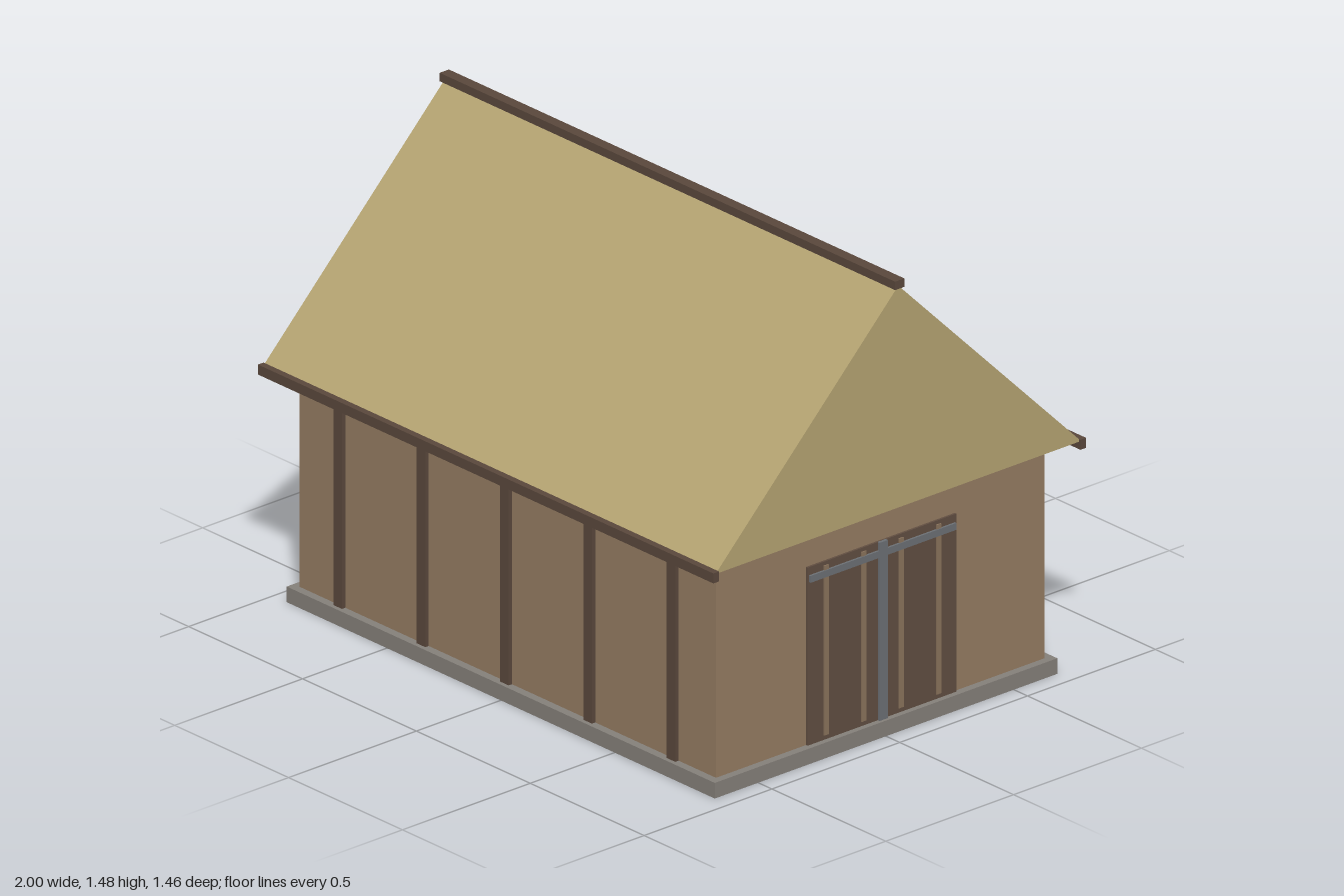
import * as THREE from 'three';

const mat = (color) => new THREE.MeshStandardMaterial({ color });

export function createModel() {
  const barn = new THREE.Group();
  barn.name = 'barn';
  const stone = mat(0x85807a), plaster = mat(0x957c62), thatch = mat(0xb5a472);
  const timber = mat(0x5a483c), doorWood = mat(0x614e41), batten = mat(0x8a735c), iron = mat(0x6c7075);

  // Box given by its lower and upper bounds on each axis
  const box = (name, material, [x0, x1], [y0, y1], [z0, z1], parent = barn) => {
    const mesh = new THREE.Mesh(new THREE.BoxGeometry(x1 - x0, y1 - y0, z1 - z0), material);
    mesh.position.set((x0 + x1) / 2, (y0 + y1) / 2, (z0 + z1) / 2);
    mesh.name = name;
    parent.add(mesh);
  };
  const around = (c, width) => [c - width / 2, c + width / 2];

  box('foundation', stone, [-0.94, 0.94], [0, 0.05], [-0.67, 0.67]);
  box('walls', plaster, [-0.915, 0.915], [0.05, 0.75], [-0.643, 0.643]);

  // Solid gable roof
  const gable = new THREE.Shape([
    new THREE.Vector2(-0.715, 0.75), new THREE.Vector2(0.715, 0.75), new THREE.Vector2(0, 1.46),
  ]);
  const roofGeometry = new THREE.ExtrudeGeometry(gable, { depth: 1.988, bevelEnabled: false });
  roofGeometry.translate(0, 0, -0.994).rotateY(Math.PI / 2);
  const roof = new THREE.Mesh(roofGeometry, thatch);
  roof.name = 'roof';
  barn.add(roof);
  box('ridgeBeam', timber, [-1, 1], [1.453, 1.48], around(0, 0.036));

  // Eave beams and wall posts on both long sides
  for (const side of [-1, 1]) {
    box('eaveBeam', timber, [-1, 1], [0.726, 0.758], around(side * 0.718, 0.022));
    for (let i = -2; i <= 2; i++) {
      box('wallPost', timber, around(i * 0.366, 0.038), [0.05, 0.75], around(side * 0.646, 0.02));
    }
  }

  // Double door on the left gable end
  const door = new THREE.Group();
  door.name = 'door';
  barn.add(door);
  for (const side of [-1, 1]) {
    box('doorLeaf', doorWood, [0.912, 0.922], [0.05, 0.62], around(side * 0.146, 0.29), door);
    for (const z of [0.073, 0.22]) {
      box('doorBatten', batten, [0.92, 0.926], [0.065, 0.608], around(side * z, 0.018), door);
    }
  }
  box('doorCrossBar', iron, [0.92, 0.929], [0.572, 0.594], [-0.285, 0.285], door);
  box('doorCentreBar', iron, [0.92, 0.93], [0.05, 0.62], around(0, 0.032), door);

  return barn;
}
